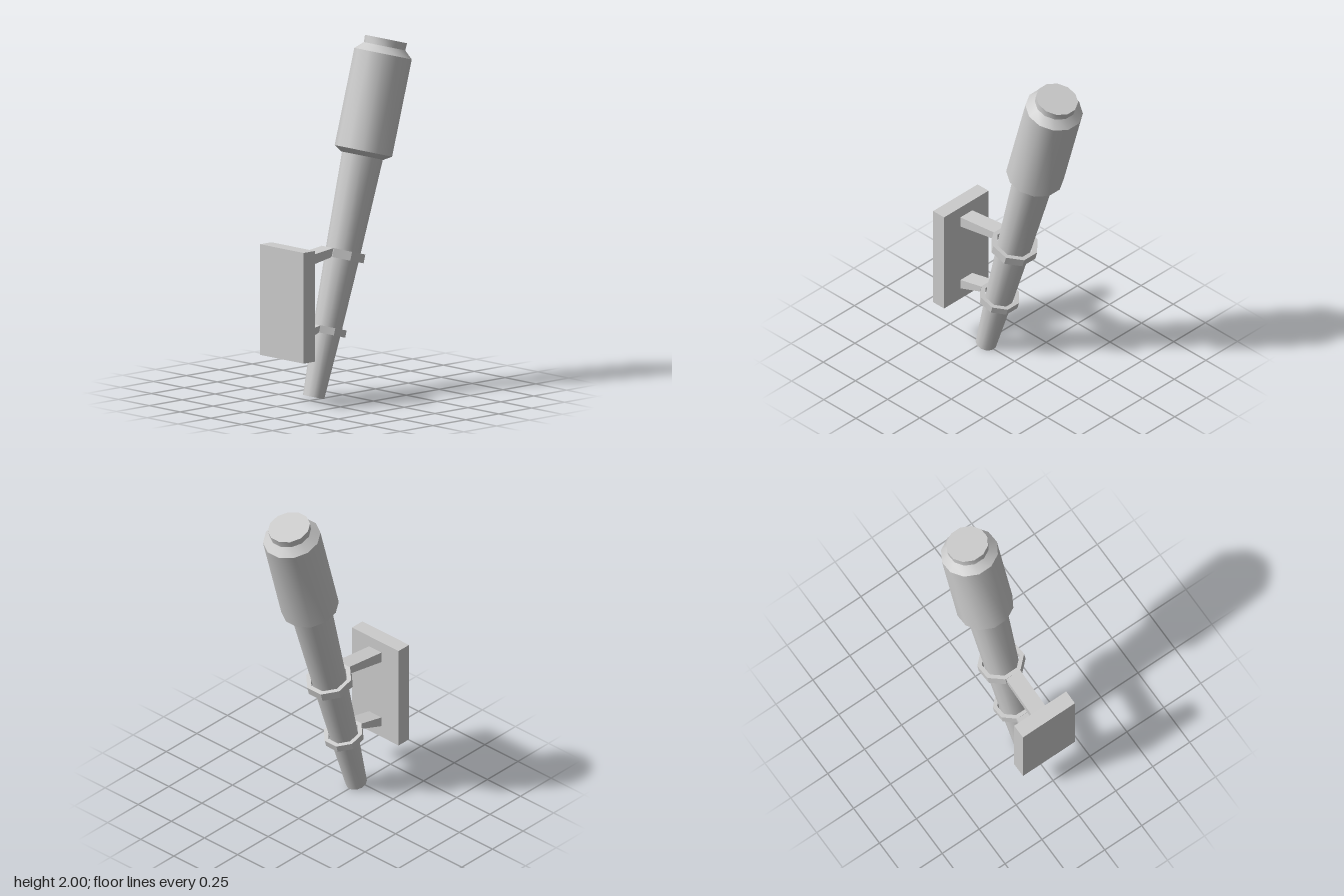
import * as THREE from 'three';
import { toCreasedNormals } from 'three/addons/utils/BufferGeometryUtils.js';

const TILT = 0.275;
const BASE = new THREE.Vector2(-0.22, 0.02);

const material = new THREE.MeshStandardMaterial({ color: 0xcccccc });

function addMesh(parent, name, geometry) {
  const mesh = new THREE.Mesh(geometry, material);
  mesh.name = name;
  parent.add(mesh);
  return mesh;
}

// Turned solid with flat sides facing the axes; radii are measured to the flats
function turned(profile, sides) {
  const k = 1 / Math.cos(Math.PI / sides);
  const points = profile.map(([r, y]) => new THREE.Vector2(r * k, y));
  return toCreasedNormals(new THREE.LatheGeometry(points, sides, Math.PI / sides), 0.6);
}

// Point in the front plane at distance t along the tilted axis and d to its side
function axisPoint(t, d) {
  const c = Math.cos(TILT), s = Math.sin(TILT);
  return new THREE.Vector2(BASE.x + t * s + d * c, BASE.y + t * c - d * s);
}

export function createModel() {
  const model = new THREE.Group();
  model.name = 'wallTorch';

  // Leaning torch: everything turned about its own axis
  const torch = new THREE.Group();
  torch.name = 'torch';
  torch.position.set(BASE.x, BASE.y, 0);
  torch.rotation.z = -TILT;
  model.add(torch);

  addMesh(torch, 'shaft', turned(
    [[0, 0], [0.058, 0], [0.077, 0.38], [0.094, 0.81], [0.112, 1.38]], 12));
  addMesh(torch, 'head', turned(
    [[0, 1.366], [0.115, 1.366], [0.157, 1.393], [0.157, 1.943],
      [0.113, 1.985], [0.115, 2.026], [0, 2.026]], 12));

  // Wall plate
  addMesh(model, 'wallPlate', new THREE.BoxGeometry(0.085, 0.625, 0.352))
    .position.set(-0.418, 0.578, 0);

  // Octagonal collars, each held by a sloping arm from the plate
  const supports = [
    { name: 'lower', t: 0.378, r: 0.106, inner: 0.083, h: 0.041, y0: 0.335, y1: 0.393 },
    { name: 'upper', t: 0.807, r: 0.124, inner: 0.1, h: 0.05, y0: 0.76, y1: 0.823 },
  ];
  for (const { name, t, r, inner, h, y0, y1 } of supports) {
    const lo = t - h / 2, hi = t + h / 2;
    addMesh(torch, name + 'Collar', turned(
      [[inner, lo], [r, lo], [r, hi], [inner, hi], [inner, lo]], 8));

    const side = new THREE.Shape([
      new THREE.Vector2(-0.38, y0), axisPoint(lo, -r + 0.002),
      axisPoint(hi, -r + 0.002), new THREE.Vector2(-0.38, y1),
    ]);
    const arm = new THREE.ExtrudeGeometry(side, { depth: 0.094, bevelEnabled: false });
    arm.translate(0, 0, -0.047);
    addMesh(model, name + 'Arm', arm);
  }
  return model;
}
